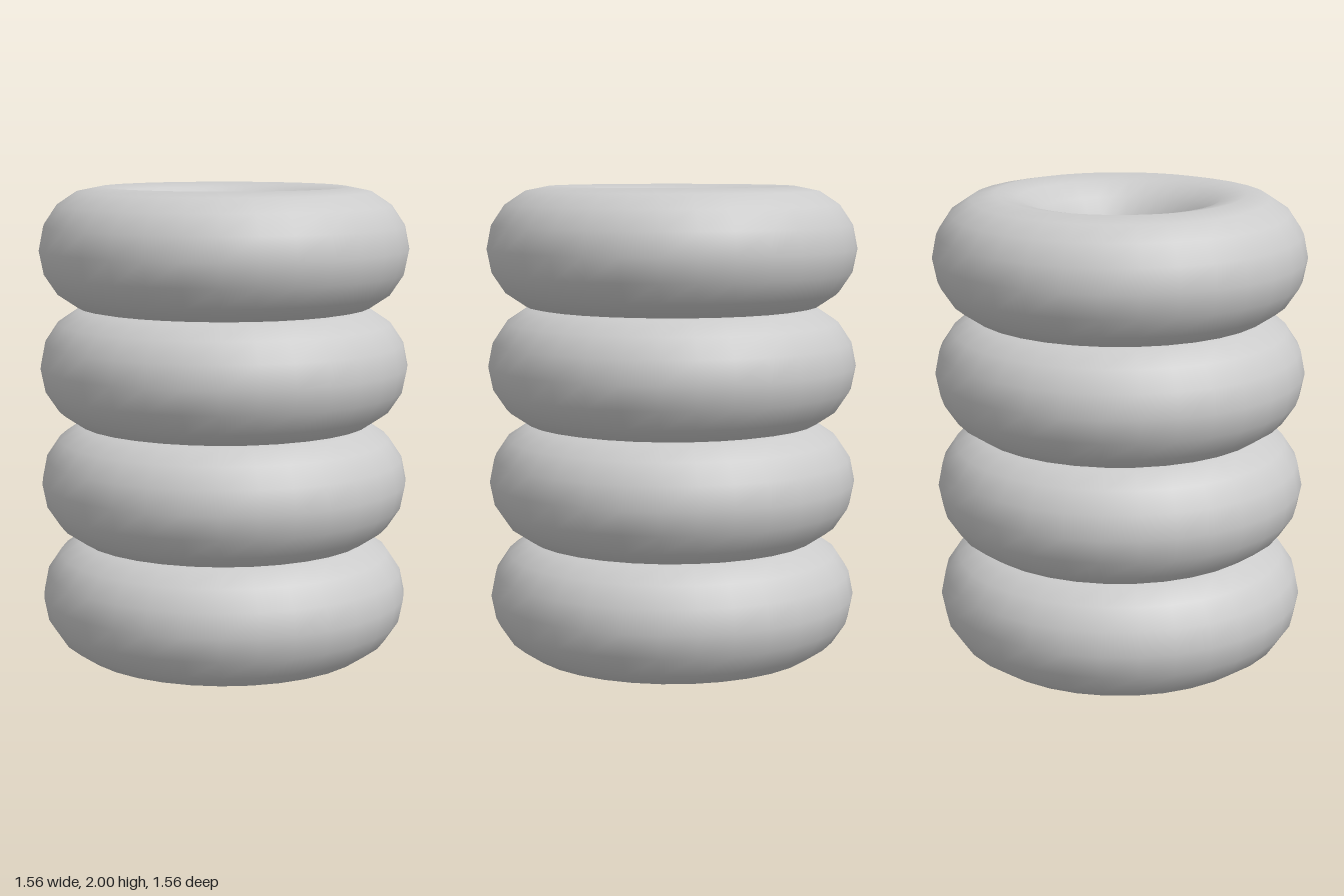
import * as THREE from 'three';

const RINGS = 4;
const RING_RADIUS = 0.52;
const TUBE_RADIUS = 0.26;
const HEIGHT = 2;

export function createModel() {
  const model = new THREE.Group();
  model.name = 'ringStack';

  const material = new THREE.MeshStandardMaterial({ color: 0xcccccc });

  // One ring lying flat, shared by the whole stack
  const geometry = new THREE.TorusGeometry(RING_RADIUS, TUBE_RADIUS, 16, 32);
  geometry.rotateX(-Math.PI / 2);

  // Evenly stacked rings, each overlapping the next slightly
  const spacing = (HEIGHT - 2 * TUBE_RADIUS) / (RINGS - 1);
  for (let i = 0; i < RINGS; i++) {
    const ring = new THREE.Mesh(geometry, material);
    ring.name = `ring${i + 1}`;
    ring.position.y = TUBE_RADIUS + i * spacing;
    model.add(ring);
  }

  return model;
}
